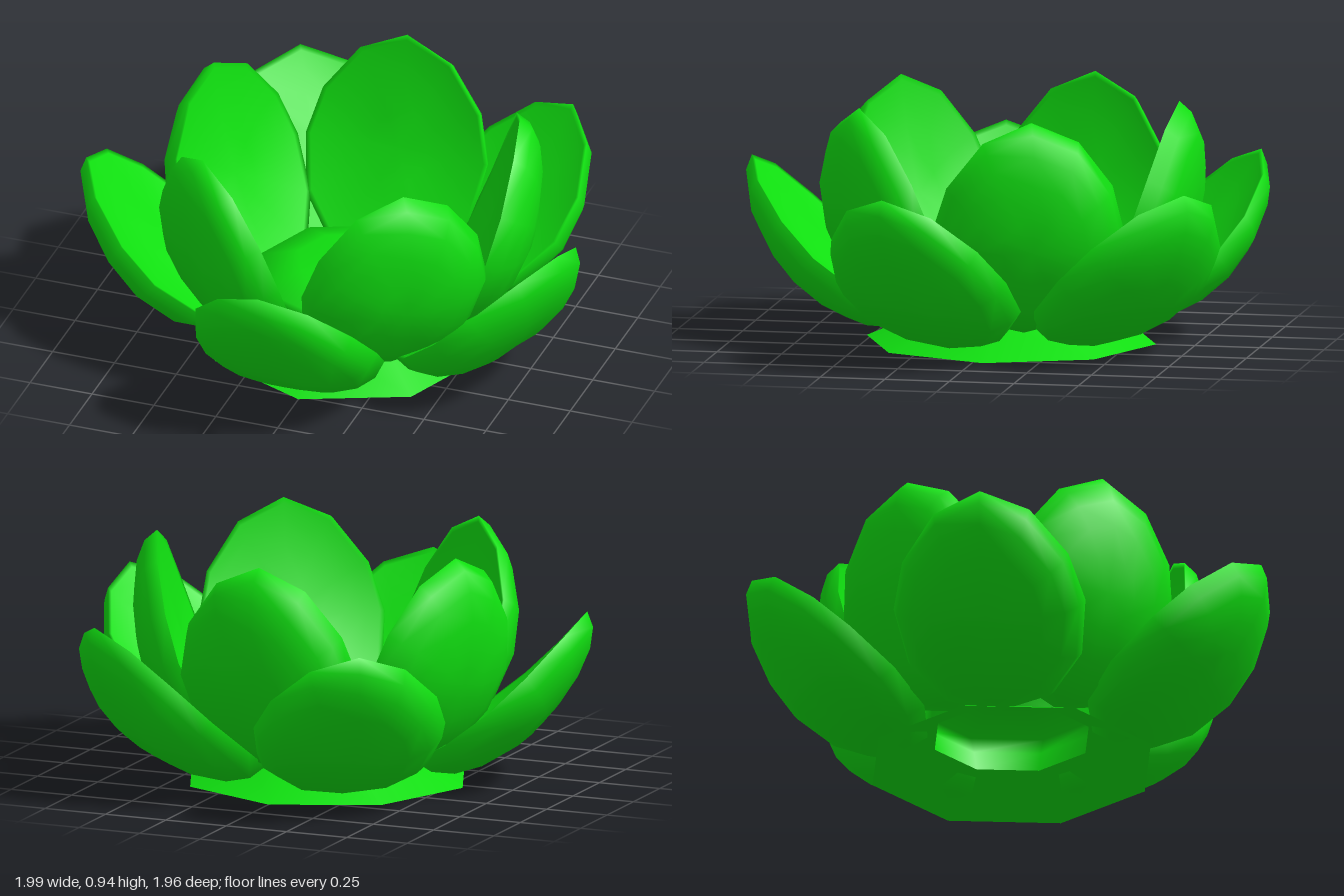
import * as THREE from 'three';
import { mergeVertices } from 'three/addons/utils/BufferGeometryUtils.js';

const HALF_WIDTH = 0.367, OUTER_DEPTH = 0.218, INNER_DEPTH = 0.06, RIM_SAG = 0.045;

// A cupped petal running from (baseR, baseY) to (tipR, tipY), pointing along +z.
// A sphere is squashed into a bowl: both halves bulge outward, the inner one less.
function petalGeometry(baseR, baseY, tipR, tipY) {
  const source = new THREE.SphereGeometry(1, 12, 10);
  source.deleteAttribute('normal');
  source.deleteAttribute('uv');
  const geometry = mergeVertices(source, 1e-4);
  const pos = geometry.attributes.position;
  const length = Math.hypot(tipR - baseR, tipY - baseY);
  const c = (tipR - baseR) / length, s = (tipY - baseY) / length;
  for (let i = 0; i < pos.count; i++) {
    const b = pos.getX(i), n = pos.getY(i), a = pos.getZ(i);
    // the side rims sag outward, tip and base stay on the chord
    const sag = RIM_SAG * b * b / Math.max(Math.hypot(a, b), 1e-4);
    // the outer bulge is fuller towards the base
    const depth = (n > 0 ? OUTER_DEPTH * n * (1 - 0.12 * a) : INNER_DEPTH * n * n) + sag;
    // pointed tip, blunt base
    const along = a > 0 ? a * (1 - 0.22 * b * b) : a;
    const width = HALF_WIDTH * (a < 0 ? 1 + 0.18 * a * a : 1);
    const t = (along + 1) * length / 2;
    pos.setXYZ(i, -b * width, baseY + t * s - depth * c, baseR + t * c + depth * s);
  }
  geometry.computeVertexNormals();
  return geometry;
}

export function createModel() {
  const model = new THREE.Group();
  model.name = 'flower';
  const green = new THREE.MeshStandardMaterial({ color: 0x10e010, side: THREE.DoubleSide });
  green.name = 'leafGreen';

  const flower = new THREE.Group();
  flower.name = 'rosette';
  flower.position.z = -0.04;
  model.add(flower);

  // Eight-sided turned parts, kept apart so the edge between them stays sharp
  function addTurned(name, profile) {
    const points = profile.map(([r, y]) => new THREE.Vector2(r, y));
    const mesh = new THREE.Mesh(new THREE.LatheGeometry(points, 8), green);
    mesh.name = name;
    flower.add(mesh);
  }
  addTurned('baseFlange', [[0.56, 0], [0.31, 0.11]]);
  addTurned('centreMound', [[0.31, 0.11], [0.33, 0.19], [0.36, 0.26], [0.2, 0.31], [0, 0.33]]);

  // Rings of petals, angles measured from the front towards +x
  function addRing(name, geometry, angles) {
    angles.forEach((angle) => {
      const petal = new THREE.Mesh(geometry, green);
      petal.name = name;
      petal.rotation.y = THREE.MathUtils.degToRad(angle);
      flower.add(petal);
    });
  }
  addRing('outerPetal', petalGeometry(0.325, 0.085, 1.005, 0.68), [0, 72, 142, 210.5, 282.5]);
  addRing('innerPetal', petalGeometry(0.33, 0.1, 0.65, 0.94), [38.5, 108, 180, 252, 321.5]);

  return model;
}
